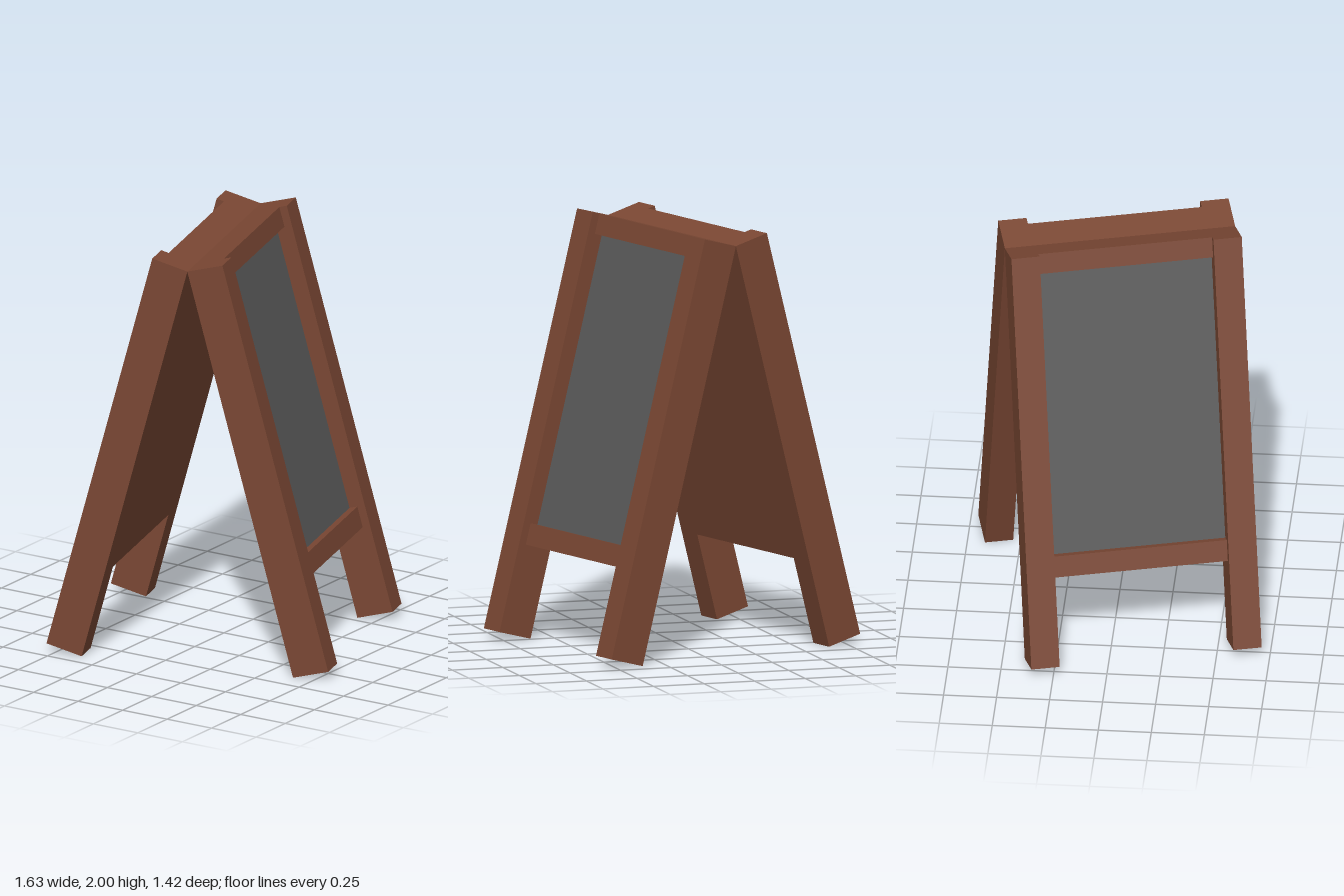
import * as THREE from 'three';

const TILT = Math.PI / 12;   // lean of each leaf, and turn of the whole sign
const LENGTH = 2.022;        // post length along its slope
const DEPTH = 0.18;          // post depth
const INNER = 0.415, OUTER = 0.55; // post sides across the width
const RAIL_BOTTOM = 0.428;

const wood = new THREE.MeshStandardMaterial({ color: 0x7a4733 });
const slate = new THREE.MeshStandardMaterial({ color: 0x5a5a5a });

// Box given by its limits on each axis
function box(name, material, [x0, x1], [y0, y1], [z0, z1]) {
  const mesh = new THREE.Mesh(new THREE.BoxGeometry(x1 - x0, y1 - y0, z1 - z0), material);
  mesh.position.set((x0 + x1) / 2, (y0 + y1) / 2, (z0 + z1) / 2);
  mesh.name = name;
  return mesh;
}

// One leaning leaf: origin at the outer foot edge, y up the slope, -x inward
function makeLeaf(name) {
  const leaf = new THREE.Group();
  leaf.name = name;
  const span = [-INNER, INNER];
  leaf.add(
    box('frontPost', wood, [-DEPTH, 0], [0, LENGTH], [INNER, OUTER]),
    box('backPost', wood, [-DEPTH, 0], [0, LENGTH], [-OUTER, -INNER]),
    // Backing board sits flush with the inner faces and tops of the posts
    box('backingBoard', wood, [-DEPTH, -0.09], [RAIL_BOTTOM, LENGTH], span),
    box('bottomRail', wood, [-0.09, -0.038], [RAIL_BOTTOM, 0.531], span),
    box('topRail', wood, [-0.09, -0.038], [1.924, LENGTH], span),
    box('chalkboard', slate, [-0.09, -0.078], [0.531, 1.924], span)
  );
  leaf.position.set(0.697, DEPTH * Math.sin(TILT), 0);
  leaf.rotation.z = TILT;
  return leaf;
}

export function createModel() {
  const model = new THREE.Group();
  model.name = 'sandwichBoard';
  // Two identical leaves lean together back to back
  ['leftLeaf', 'rightLeaf'].forEach((name, i) => {
    const side = new THREE.Group();
    side.name = name + 'Side';
    side.rotation.y = i * Math.PI;
    side.add(makeLeaf(name));
    model.add(side);
  });
  model.rotation.y = TILT;
  return model;
}
